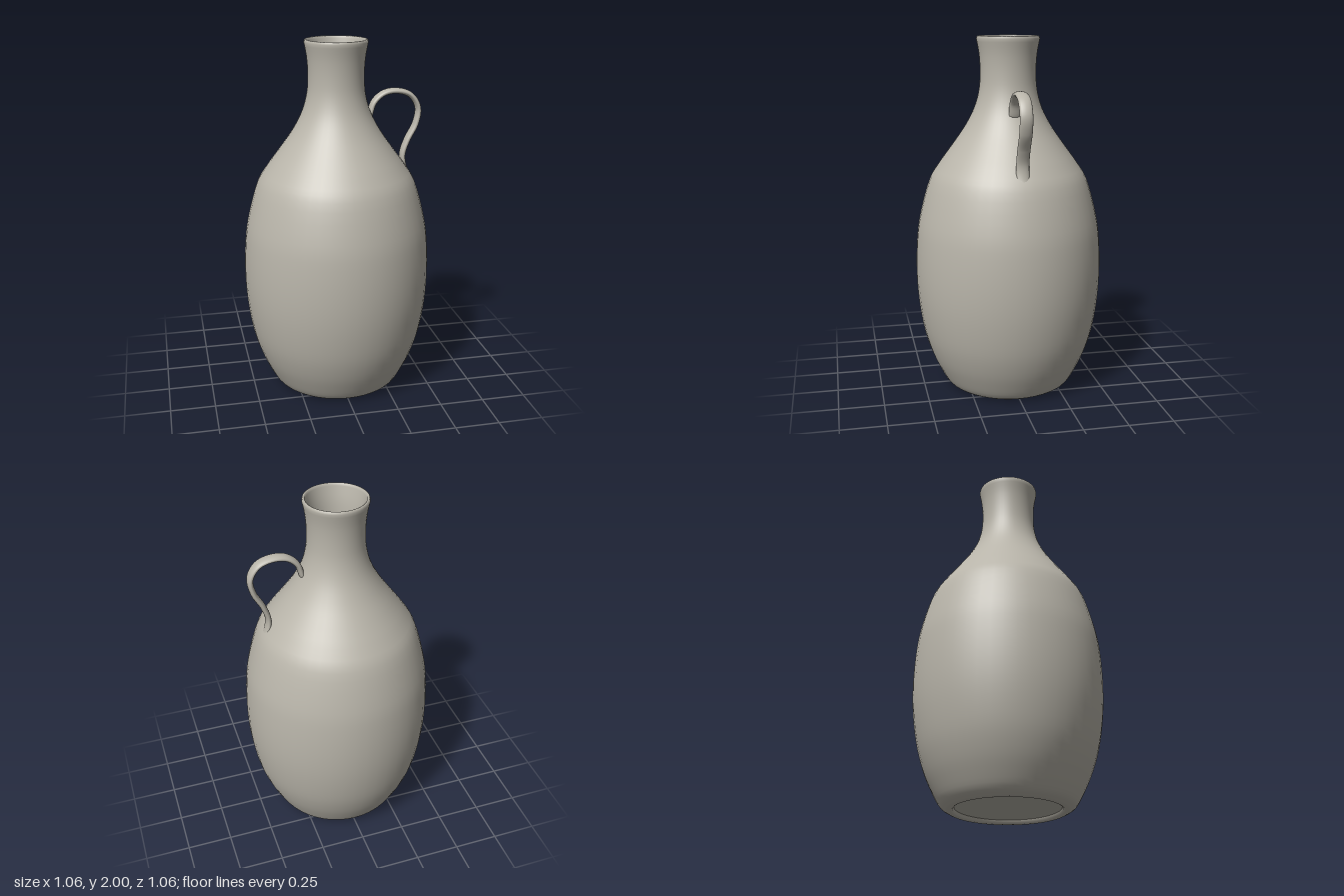
import * as THREE from 'three';

const vec = (pts) => pts.map(([x, y]) => new THREE.Vector2(x, y));

export function createModel() {
  const group = new THREE.Group();
  const clay = new THREE.MeshStandardMaterial({ color: 0xb9b5aa });
  clay.name = 'grey clay';

  const add = (name, geometry) => {
    const mesh = new THREE.Mesh(geometry, clay);
    mesh.name = name;
    group.add(mesh);
    return mesh;
  };

  // Outer wall, from foot to lip
  const outer = new THREE.SplineCurve(vec([
    [0.33, 0.005], [0.365, 0.03], [0.405, 0.1], [0.45, 0.2], [0.49, 0.33], [0.518, 0.5],
    [0.528, 0.67], [0.522, 0.85], [0.502, 1.0], [0.447, 1.2], [0.388, 1.3], [0.315, 1.4],
    [0.245, 1.5], [0.192, 1.6], [0.163, 1.7], [0.155, 1.8], [0.16, 1.9], [0.175, 1.985],
  ])).getPoints(60);

  // Inner wall, from lip down to the floor
  const inner = new THREE.SplineCurve(vec([
    [0.157, 1.985], [0.14, 1.9], [0.133, 1.8], [0.138, 1.7], [0.165, 1.6], [0.218, 1.5],
    [0.36, 1.3], [0.42, 1.2], [0.477, 1.0], [0.503, 0.67], [0.465, 0.33], [0.38, 0.1], [0.32, 0.045],
  ])).getPoints(40);

  add('body', new THREE.LatheGeometry([...outer, ...vec([[0.172, 1.997], [0.166, 2], [0.16, 1.997]]), ...inner], 48));

  // Foot ring with a shallow recess under the base
  add('foot', new THREE.LatheGeometry(vec([[0.285, 0.02], [0.29, 0.006], [0.3, 0], [0.32, 0], [0.33, 0.005]]), 48));
  const base = add('base', new THREE.CircleGeometry(0.287, 48));
  base.rotation.x = Math.PI / 2;
  base.position.y = 0.02;
  const floor = add('innerFloor', new THREE.CircleGeometry(0.325, 48));
  floor.rotation.x = -Math.PI / 2;
  floor.position.y = 0.045;

  // Strap handle: a tube widened along z, with rounded ends
  const r = 0.016, widen = 2.2;
  const path = new THREE.CatmullRomCurve3([
    [0.192, 1.585], [0.215, 1.65], [0.27, 1.697], [0.345, 1.708], [0.425, 1.682], [0.47, 1.61],
    [0.458, 1.52], [0.41, 1.425], [0.385, 1.345], [0.395, 1.27], [0.427, 1.203],
  ].map(([x, y]) => new THREE.Vector3(x, y, 0)));
  const handle = new THREE.TubeGeometry(path, 56, r, 16);
  handle.scale(1, 1, widen);
  add('handle', handle);
  for (const t of [0, 1]) {
    const end = new THREE.SphereGeometry(r, 16, 10);
    end.scale(1, 1, widen);
    add('handleEnd', end).position.copy(path.getPoint(t));
  }

  return group;
}
